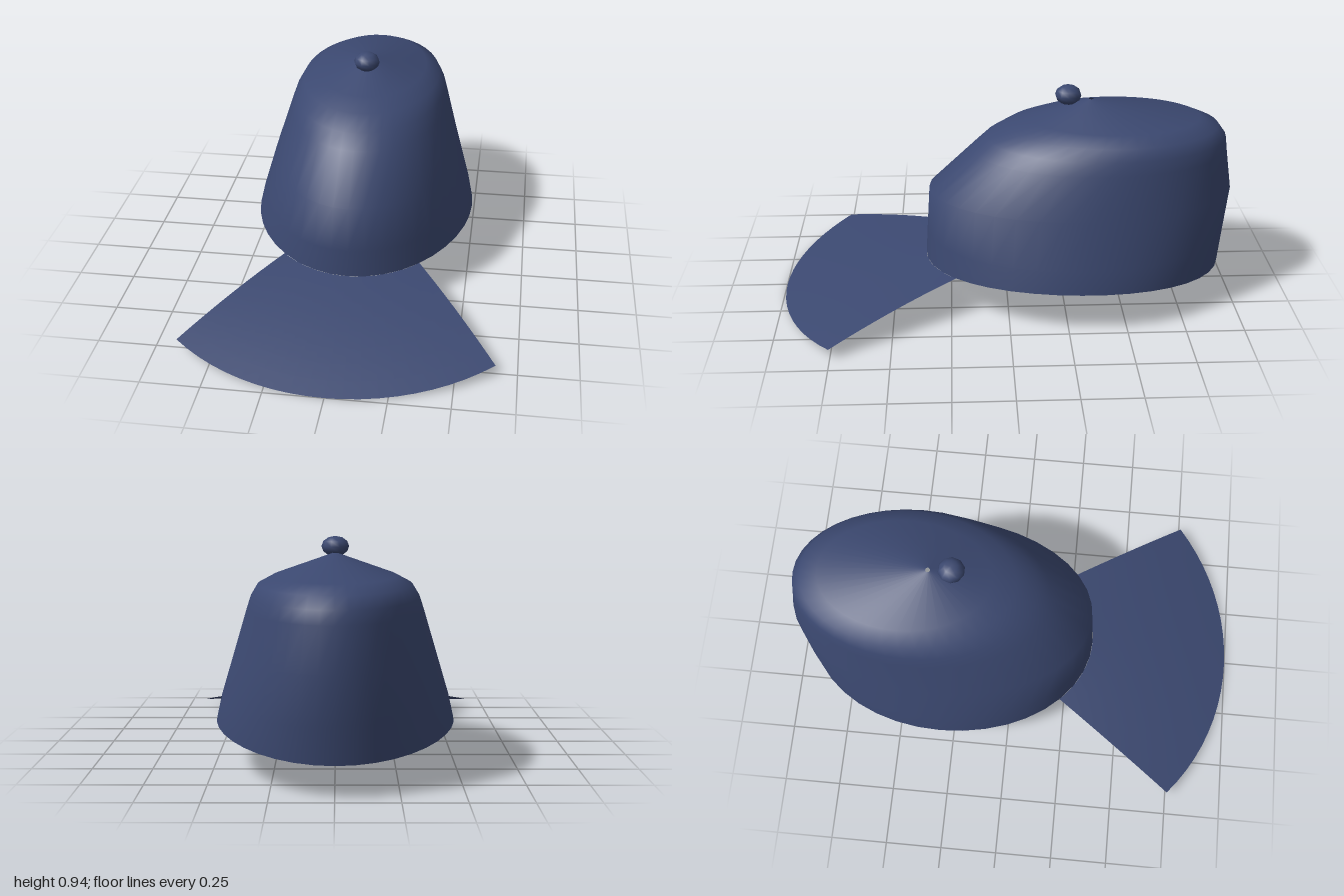
import * as THREE from 'three';

// Smooth surface from rows of points; point(i, j) gives [x, y, z]
function gridSurface(cols, rows, closed, point) {
  const positions = [], index = [];
  const count = closed ? cols : cols + 1;
  for (let j = 0; j < rows; j++)
    for (let i = 0; i < count; i++) positions.push(...point(i, j));
  for (let j = 0; j < rows - 1; j++)
    for (let i = 0; i < cols; i++) {
      const a = j * count + i, b = j * count + (i + 1) % count;
      index.push(a, b, b + count, a, b + count, a + count);
    }
  const geometry = new THREE.BufferGeometry();
  geometry.setAttribute('position', new THREE.Float32BufferAttribute(positions, 3));
  geometry.setIndex(index);
  geometry.computeVertexNormals();
  return geometry;
}

// Bottom edge of the crown at an angle measured from the front
function crownEdge(angle) {
  const c = Math.cos(angle);
  return [0.5 * Math.sin(angle), 0.183 + 0.015 * c - 0.038 * c * c, -0.3 + 0.66 * c];
}

export function createModel() {
  const cap = new THREE.Group();
  cap.name = 'cap';
  const navy = new THREE.MeshStandardMaterial({ color: 0x3b4870, side: THREE.DoubleSide });
  navy.name = 'navy cloth';

  const add = (name, geometry) => {
    const mesh = new THREE.Mesh(geometry, navy);
    mesh.name = name;
    cap.add(mesh);
    return mesh;
  };

  // Crown: elliptical rings as [height, half width, front z, back z]
  const rings = [
    [0.28, 0.478, 0.353, -0.976],
    [0.48, 0.418, 0.34, -1.0],
    [0.66, 0.362, 0.15, -0.973],
    [0.715, 0.343, 0.09, -0.966],
    [0.765, 0.313, 0, -0.93],
    [0.8, 0.25, -0.1, -0.85],
    [0.88, 0.01, -0.36, -0.38],
  ];
  const sides = 40;
  add('crown', gridSurface(sides, rings.length + 1, true, (i, j) => {
    const angle = i / sides * Math.PI * 2;
    if (j === 0) return crownEdge(angle);
    const [y, halfWidth, front, back] = rings[j - 1];
    return [
      halfWidth * Math.sin(angle), y,
      (front + back) / 2 + (front - back) / 2 * Math.cos(angle),
    ];
  }));

  // Brim: fans out from the front of the crown edge to a wide arc
  const across = 20, deep = 8;
  add('brim', gridSurface(across, deep + 1, false, (i, j) => {
    const u = 1 - 2 * i / across, t = j / deep;
    const inner = crownEdge(u * 0.6435);
    const outerAngle = u * 0.712;
    const outer = [1.01 * Math.sin(outerAngle), 0.043 * u * u, -0.01 + 1.01 * Math.cos(outerAngle)];
    const p = inner.map((v, k) => v + (outer[k] - v) * t);
    p[1] += 0.045 * t * (1 - t);
    return p;
  }).scale(1, 1, 1));

  // Button on top
  const button = add('button', new THREE.SphereGeometry(1, 10, 6));
  button.scale.set(0.058, 0.043, 0.058);
  button.position.set(0, 0.9, -0.27);

  return cap;
}
